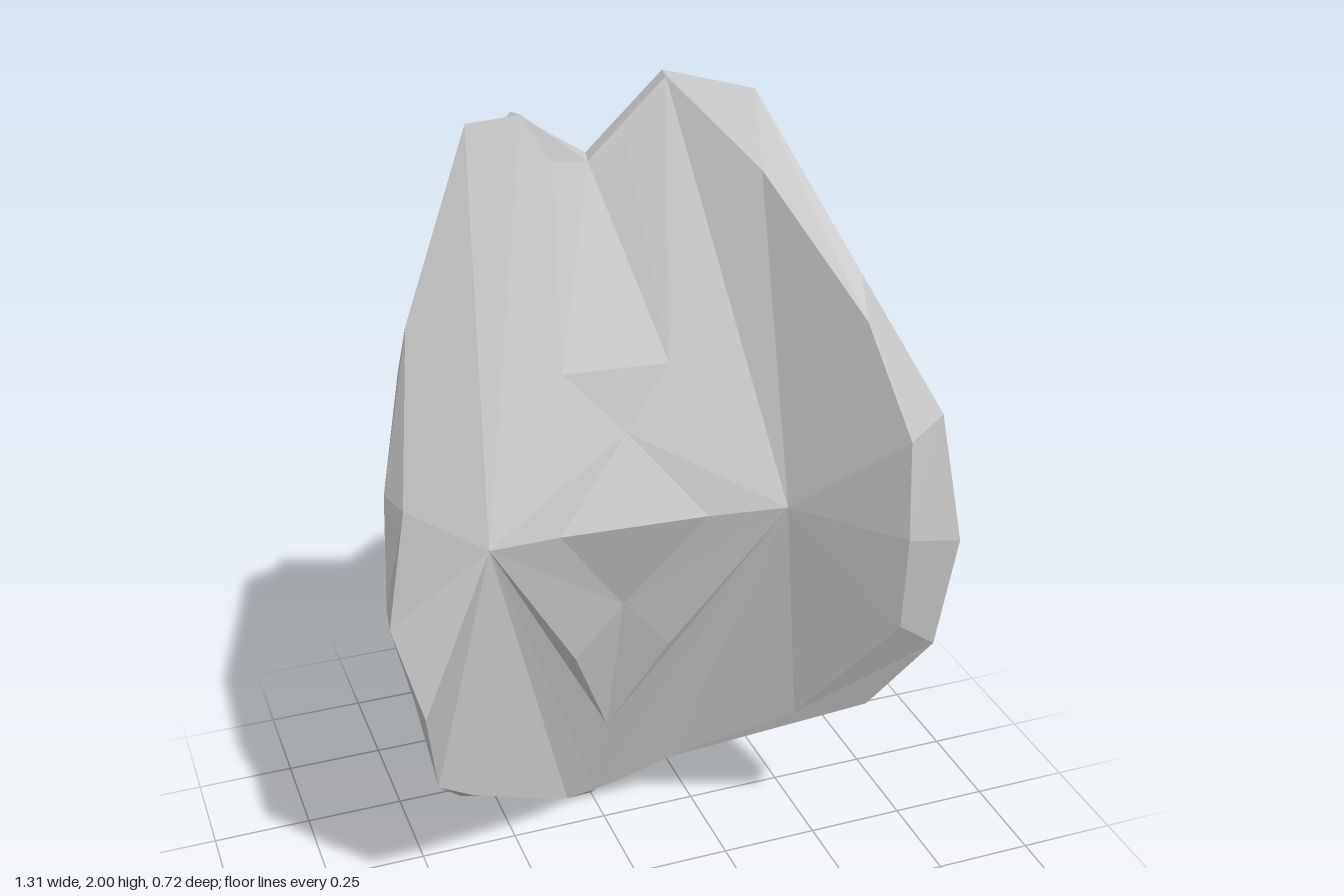
import * as THREE from 'three';

// A thick faceted saddle-shaped shell: two rims, a concave front, a convex back.
export function createModel() {
  const group = new THREE.Group();
  group.name = 'facetedShell';
  const material = new THREE.MeshStandardMaterial({ color: 0xcccccc, flatShading: true, side: THREE.DoubleSide });

  // Front rim, running from the top notch down the -x side and back up the +x side
  const f = [
    [-0.01, 1.815, -0.29], [-0.17, 1.945, -0.27], [-0.31, 1.955, -0.22], [-0.535, 1.64, 0.08],
    [-0.6, 1.3, 0.24], [-0.655, 1.05, 0.285], [-0.58, 0.77, 0.24], [-0.535, 0.5, 0.13],
    [-0.43, 0.38, 0.03], [-0.18, 0.14, -0.2], [-0.08, 0.03, -0.32], [0, 0.04, -0.32],
    [0.07, 0.08, -0.29], [0.175, 0.18, -0.21], [0.41, 0.43, 0.04], [0.555, 0.8, 0.29],
    [0.545, 1.05, 0.32], [0.535, 1.3, 0.315], [0.48, 1.54, 0.175], [0.33, 1.82, -0.09], [0.165, 2, -0.26],
  ];
  // Back rim, point for point behind the front rim
  const b = [
    [0, 1.82, -0.335], [-0.18, 1.94, -0.315], [-0.34, 1.8, -0.24], [-0.545, 1.52, 0.03],
    [-0.62, 1.3, 0.155], [-0.64, 1.05, 0.195], [-0.585, 0.77, 0.16], [-0.53, 0.5, 0.08],
    [-0.45, 0.36, 0], [-0.18, 0.13, -0.24], [-0.08, 0.025, -0.34], [0, 0, -0.36],
    [0.07, 0.075, -0.33], [0.17, 0.17, -0.24], [0.545, 0.505, 0.165], [0.635, 0.75, 0.31],
    [0.655, 1.05, 0.355], [0.61, 1.355, 0.31], [0.5, 1.62, 0.09], [0.355, 1.97, -0.2], [0.175, 2, -0.31],
  ];

  // Triangle fan from a centre; flip turns it to face the back
  const fan = (centre, ring, flip = false) => {
    const out = [];
    for (let i = 0; i < ring.length - 1; i++) {
      out.push(centre, ...(flip ? [ring[i + 1], ring[i]] : [ring[i], ring[i + 1]]));
    }
    return out;
  };
  const addPart = (name, corners) => {
    const geometry = new THREE.BufferGeometry();
    geometry.setAttribute('position', new THREE.Float32BufferAttribute(corners.flat(), 3));
    geometry.computeVertexNormals();
    const mesh = new THREE.Mesh(geometry, material);
    mesh.name = name;
    group.add(mesh);
  };

  // Concave front: two cheek hubs around a central raised ridge
  const hubR = [-0.36, 1.04, 0.02], hubL = [0.35, 1.05, 0.08];
  const browR = [-0.14, 1.39, -0.1], browL = [0.11, 1.39, -0.08];
  const ridgeR = [-0.185, 1.03, 0], ridgeL = [0.17, 1.035, 0.03];
  const lowR = [-0.12, 0.62, -0.1], lowL = [0.12, 0.62, -0.09];
  const notchR = [-0.1, 1.83, -0.27], notchL = [0.07, 1.86, -0.26];
  const upper = [0, 1.24, -0.06], lower = [0, 0.76, -0.09], base = [0, 0.32, -0.22];
  addPart('frontRightSide', fan(hubR, [browR, ...f.slice(1, 12), base, lowR, lower, ridgeR, upper, browR]));
  addPart('frontLeftSide', fan(hubL, [browL, upper, ridgeL, lower, lowL, base, ...f.slice(11), browL]));
  addPart('frontRidge', [
    ...fan(upper, [ridgeR, ridgeL, ]), ...fan(lower, [ridgeL, ridgeR]),
    ...fan(upper, [browL, browR]), ...fan(lower, [lowR, base, lowL]),
  ]);
  addPart('frontTopGroove', [
    ...fan(f[0], [f[1], notchR, browR, browL, notchL, f[20]]),
    f[1], browR, notchR, notchL, browL, f[20],
  ]);

  // Convex back: one hub on each side of a bent spine
  const spine = [[0, 0.28, -0.3], [0, 0.74, -0.17], [0, 1.24, -0.14], [0, 1.61, -0.3]];
  addPart('backRightSide', fan([-0.41, 1.05, -0.04], [...b.slice(0, 12), ...spine, b[0]], true));
  addPart('backLeftSide', fan([0.41, 1.05, 0], [...b.slice(11), b[0], ...[...spine].reverse(), b[11]], true));

  // Edge band joining the rims
  addPart('rim', f.flatMap((p, i) => {
    const j = (i + 1) % f.length;
    return [p, b[i], b[j], p, b[j], f[j]];
  }));
  return group;
}
